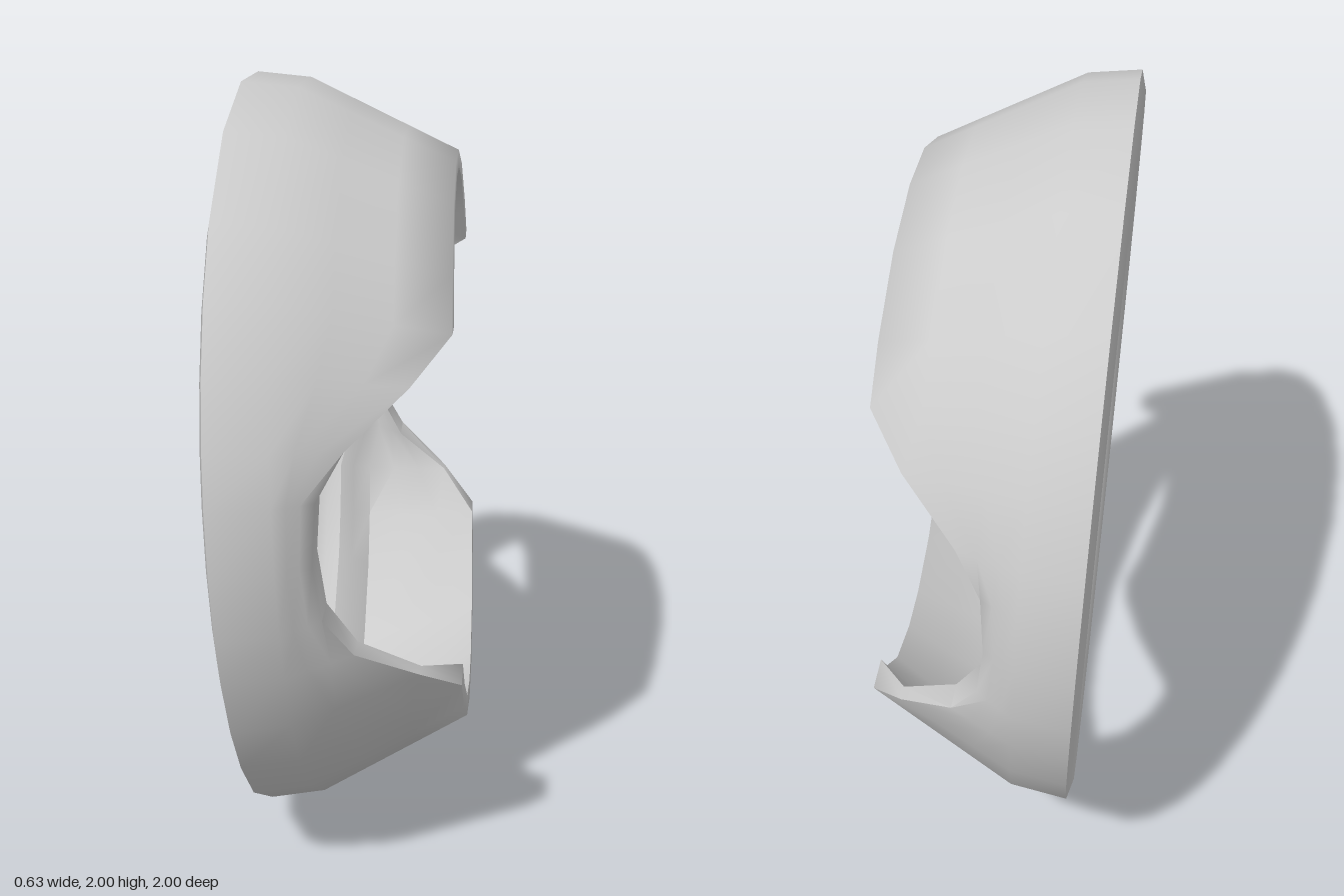
import * as THREE from 'three';
import { toCreasedNormals } from 'three/addons/utils/BufferGeometryUtils.js';

// One quarter of the ring, from the side notch to the tall shield:
// [outer angle, inner angle, height of front edge, outer radius, inner radius, radius behind the bead]
// The two angles differ so that the notch is cut straight through, along z.
const QUARTER = [
  [0, 0, 0.237, 0.92, 0.82, 0.82],
  [9, 10, 0.25, 0.915, 0.82, 0.825],
  [16, 18.5, 0.315, 0.9, 0.815, 0.86],
  [25.7, 27, 0.46, 0.83, 0.79, 0.9],
  [35.5, 40, 0.555, 0.775, 0.69, 0.91],
  [47, 50, 0.555, 0.775, 0.705, 0.91],
  [64.5, 67, 0.555, 0.775, 0.725, 0.91],
  [82, 83.5, 0.555, 0.775, 0.73, 0.91],
];

// Mirror the quarter into the full ring
function ringStations() {
  const back = QUARTER.slice(1).reverse();
  return [
    ...QUARTER,
    ...back.map(([a, b, ...r]) => [180 - a, 180 - b, ...r]),
    ...QUARTER.map(([a, b, ...r]) => [180 + a, 180 + b, ...r]),
    ...back.map(([a, b, ...r]) => [360 - a, 360 - b, ...r]),
  ];
}

// Closed wall section as [height, radius, angle]: outside, front lip, inside, back bead
function section([a, b, height, outer, inner, valley]) {
  const { lerp } = THREE.MathUtils;
  const pts = [[0.015, 1, a], [0.16, 0.98, a]];
  for (const t of [1 / 3, 2 / 3]) pts.push([lerp(0.16, height, t), lerp(0.98, outer, t), a]);
  pts.push([height, outer, a], [height, inner, b]);
  for (const t of [1 / 3, 2 / 3, 1]) {
    const bulge = 0.05 * t * (1 - t);
    pts.push([lerp(height, 0.2, t), lerp(inner, valley, t) + bulge, lerp(b, a, t)]);
  }
  // Rounded bead inside the back rim
  pts.push([0.15, lerp(0.82, valley, 0.35), a], [0.11, 0.82, a]);
  pts.push([0.06, 0.858, a], [0.02, 0.9, a], [0, 0.945, a]);
  return pts;
}

function bandGeometry() {
  const sections = ringStations().map(section);
  const m = sections.length;
  const n = sections[0].length;
  const positions = [];
  const index = [];
  sections.forEach((pts, i) => {
    for (const [u, r, deg] of pts) {
      const angle = THREE.MathUtils.degToRad(deg);
      positions.push(u, r * Math.sin(angle) * 1.009, r * Math.cos(angle));
    }
    const next = (i + 1) % m;
    for (let j = 0; j < n; j++) {
      const k = (j + 1) % n;
      const [a, b, c, d] = [i * n + j, i * n + k, next * n + k, next * n + j];
      index.push(a, b, c, a, c, d);
    }
  });
  const geometry = new THREE.BufferGeometry();
  geometry.setAttribute('position', new THREE.Float32BufferAttribute(positions, 3));
  geometry.setIndex(index);
  return toCreasedNormals(geometry, 1.2);
}

export function createModel() {
  const group = new THREE.Group();
  group.name = 'notchedRing';
  // Ring with two tall tapering shields and a notch on each side
  const band = new THREE.Mesh(bandGeometry(), new THREE.MeshStandardMaterial({ color: 0xcccccc }));
  band.name = 'band';
  band.position.set(-0.275, 1, 0);
  band.rotation.z = 0.045; // slight lean
  group.add(band);
  return group;
}
